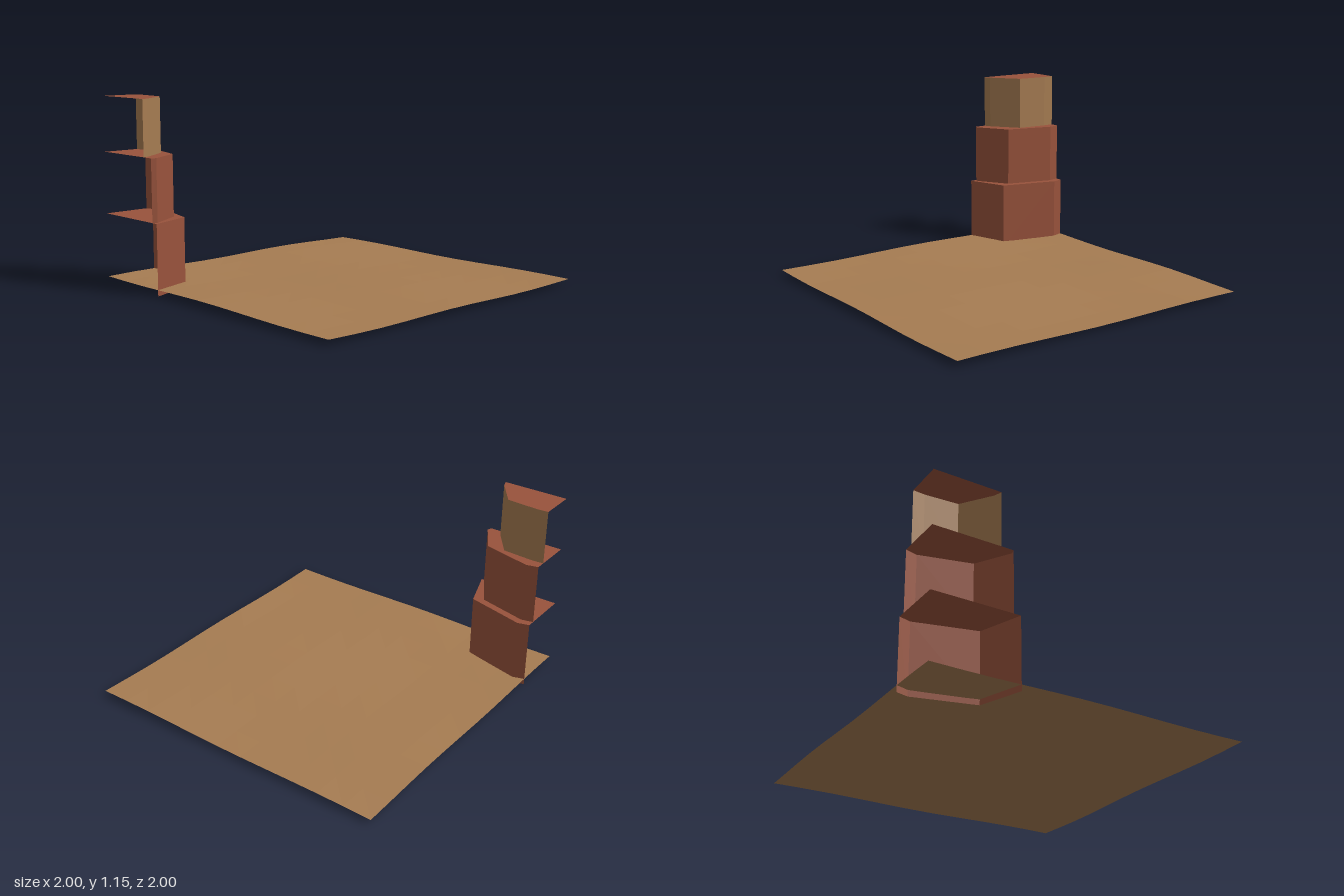
import * as THREE from 'three';

const material = (name, color) => {
  const m = new THREE.MeshStandardMaterial({ color, side: THREE.DoubleSide, flatShading: true });
  m.name = name;
  return m;
};

// Open wall strip standing on an [x, z] outline
function wallGeometry(outline, y0, y1) {
  const p = [];
  for (let i = 0; i < outline.length - 1; i++) {
    const [ax, az] = outline[i], [bx, bz] = outline[i + 1];
    p.push(ax, y0, az, bx, y0, bz, bx, y1, bz, ax, y0, az, bx, y1, bz, ax, y1, az);
  }
  const g = new THREE.BufferGeometry();
  g.setAttribute('position', new THREE.Float32BufferAttribute(p, 3));
  g.computeVertexNormals();
  return g;
}

// Flat cap closing the outline back to the tile corner
function capGeometry(outline, y) {
  const pts = [...outline, [-1, -1]].map(([x, z]) => new THREE.Vector2(x, -z));
  return new THREE.ShapeGeometry(new THREE.Shape(pts)).rotateX(-Math.PI / 2).translate(0, y, 0);
}

export function createModel() {
  const sand = material('sand', 0xa67c52);
  const redRock = material('red rock', 0x99533c);
  const model = new THREE.Group();
  model.name = 'desertCornerTile';

  const add = (parent, name, geometry, mat) => {
    const mesh = new THREE.Mesh(geometry, mat);
    mesh.name = name;
    parent.add(mesh);
  };

  // Gently rolling ground sheet
  const ground = new THREE.PlaneGeometry(2, 2, 11, 11).rotateX(-Math.PI / 2);
  const pos = ground.attributes.position;
  for (let i = 0; i < pos.count; i++) {
    const x = pos.getX(i), z = pos.getZ(i);
    pos.setY(i, 0.034 + 0.005 * Math.sin(5 * x + 1.2 * z + 0.6) + 0.004 * Math.sin(4.6 * z - 1.7 * x));
  }
  ground.computeVertexNormals();
  add(model, 'ground', ground, sand);

  // Stepped cliff in the back corner, open along the tile edges
  const tiers = [
    { name: 'lowerTier', y0: 0, y1: 0.43, wall: redRock,
      outline: [[-1, -0.467], [-0.738, -0.558], [-0.643, -0.927], [-0.663, -1]] },
    { name: 'middleTier', y0: 0.43, y1: 0.81, wall: redRock,
      outline: [[-1, -0.51], [-0.97, -0.5], [-0.77, -0.62], [-0.692, -0.927], [-0.71, -1]] },
    { name: 'upperTier', y0: 0.81, y1: 1.15, wall: sand,
      outline: [[-1, -0.585], [-0.955, -0.6], [-0.78, -0.727], [-0.765, -0.927], [-0.77, -1]] },
  ];
  for (const { name, y0, y1, wall, outline } of tiers) {
    const tier = new THREE.Group();
    tier.name = name;
    add(tier, name + 'Wall', wallGeometry(outline, y0, y1), wall);
    add(tier, name + 'Cap', capGeometry(outline, y1), redRock);
    model.add(tier);
  }
  return model;
}
